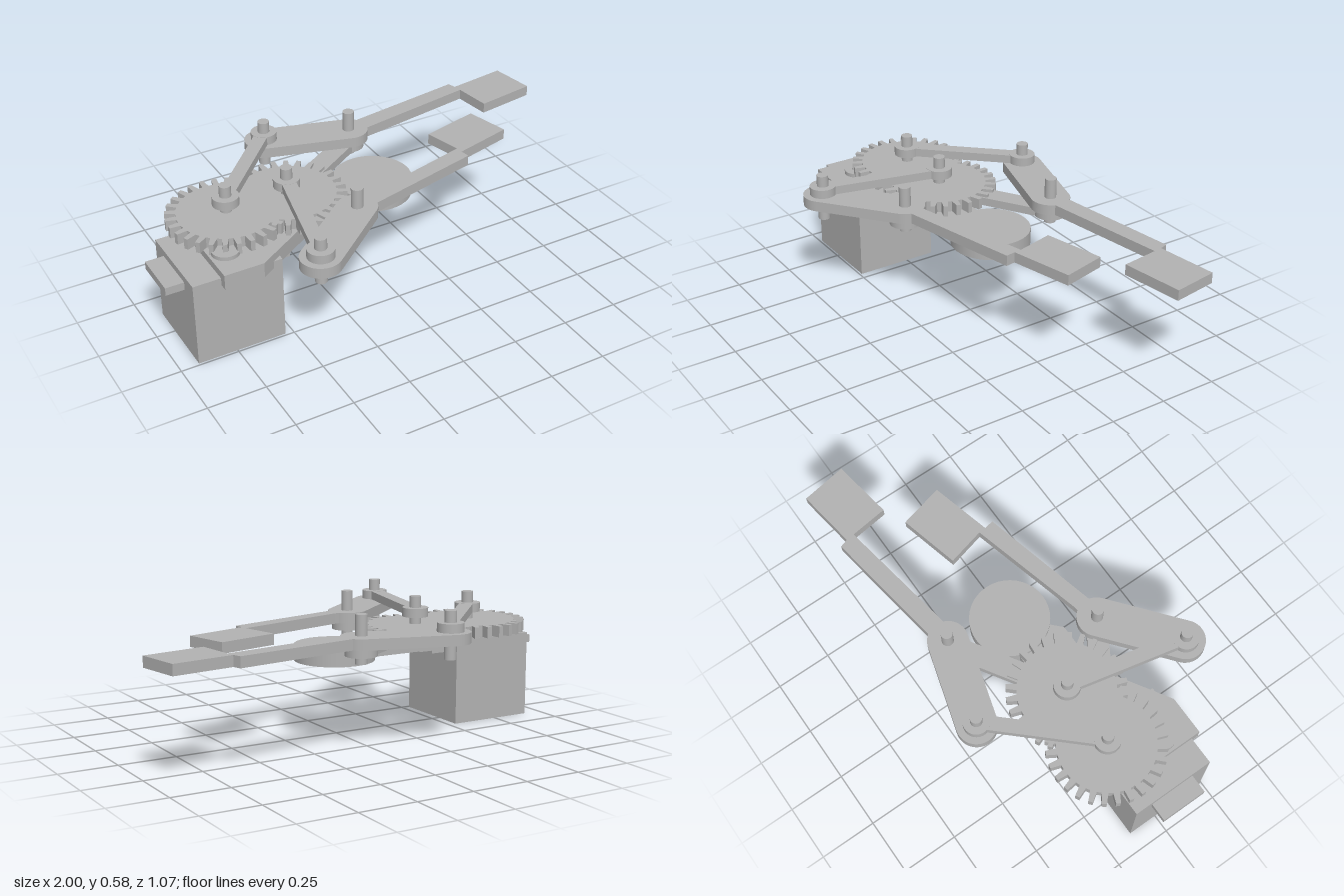
import * as THREE from 'three';

export function createModel() {
  const model = new THREE.Group();
  const grey = new THREE.MeshStandardMaterial({ color: 0xb2b2b2 });
  grey.name = 'plain grey';

  const add = (name, geometry, parent = model) => {
    const mesh = new THREE.Mesh(geometry, grey);
    mesh.name = name;
    parent.add(mesh);
    return mesh;
  };
  // Flat plate: an outline in x and z, raised from y0 to y1
  const plate = (shape, y0, y1) =>
    new THREE.ExtrudeGeometry(shape, { depth: y1 - y0, bevelEnabled: false, curveSegments: 24 })
      .rotateX(-Math.PI / 2).translate(0, y0, 0);
  const outline = (pts) => new THREE.Shape(pts.map(([x, z]) => new THREE.Vector2(x, -z)));
  const box = (name, x0, x1, y0, y1, z0, z1) =>
    add(name, new THREE.BoxGeometry(x1 - x0, y1 - y0, z1 - z0)
      .translate((x0 + x1) / 2, (y0 + y1) / 2, (z0 + z1) / 2));
  const disc = (name, [x, z], r, y0, y1, parent) =>
    add(name, new THREE.CylinderGeometry(r, r, y1 - y0, 40).translate(x, (y0 + y1) / 2, z), parent);
  // Bar with round ends between two points
  const bar = ([ax, az], [bx, bz], r) => {
    const a = Math.atan2(az - bz, bx - ax);
    const s = new THREE.Shape();
    s.absarc(ax, -az, r, a + Math.PI / 2, a + Math.PI * 1.5, false);
    s.absarc(bx, -bz, r, a - Math.PI / 2, a + Math.PI / 2, false);
    s.closePath();
    return s;
  };
  const gear = ([cx, cz], root, tip, teeth) => {
    const pts = [];
    for (let i = 0; i < teeth; i++) {
      for (const [t, r] of [[-0.3, root], [-0.17, tip], [0.17, tip], [0.3, root]]) {
        const a = ((i + t) / teeth) * Math.PI * 2;
        pts.push([cx + Math.cos(a) * r, cz - Math.sin(a) * r]);
      }
    }
    return outline(pts);
  };

  // Motor and its mounting ears
  box('motorBody', -0.92, -0.535, 0, 0.375, -0.131, 0.24);
  box('motorEars', -1, -0.46, 0.31, 0.345, -0.05, 0.155);

  // Base plate, front strip and round foot
  add('basePlate', plate(outline([
    [-0.8, -0.13], [-0.8, 0.275], [-0.63, 0.275], [-0.34, 0.096], [-0.34, -0.13],
  ]), 0.342, 0.408));
  add('baseStrip', plate(outline([
    [-0.345, -0.13], [-0.345, 0.096], [-0.11, 0.096], [-0.01, 0], [-0.01, -0.13],
  ]), 0.345, 0.39));
  disc('roundBase', [0.05, -0.07], 0.17, 0.341, 0.408);
  disc('baseBoss', [-0.73, 0.135], 0.058, 0.405, 0.425);

  // Two linkages, each with a gear, drive arm, finger and follower link
  const sides = [
    {
      name: 'back', gear: [-0.355, -0.07], pivot: [0.09, -0.35], tail: [-0.27, -0.455], link: [-0.63, -0.07],
      finger: [[0.12, -0.395], [0.16, -0.4], [0.695, -0.48], [0.706, -0.444], [0.968, -0.481],
        [1, -0.283], [0.733, -0.242], [0.711, -0.407], [0.166, -0.318], [0.12, -0.31]],
    },
    {
      name: 'front', gear: [-0.63, -0.07], pivot: [-0.18, 0.21], tail: [-0.47, 0.445], link: [-0.355, -0.07],
      finger: [[-0.13, 0.165], [-0.09, 0.158], [0.412, 0.03], [0.37, -0.134], [0.632, -0.198],
        [0.68, -0.005], [0.415, 0.062], [0.422, 0.104], [-0.1, 0.23], [-0.14, 0.25]],
    },
  ];
  for (const s of sides) {
    const g = new THREE.Group();
    g.name = s.name + 'Linkage';
    model.add(g);
    add('gear', plate(gear(s.gear, 0.205, 0.25, 28), 0.41, 0.458), g);
    add('driveArm', plate(bar(s.gear, s.pivot, 0.045), 0.409, 0.445), g);
    disc('armEye', s.pivot, 0.067, 0.409, 0.445, g);

    add('fingerTail', plate(bar(s.tail, s.pivot, 0.085), 0.445, 0.491), g);
    add('fingerTip', plate(outline(s.finger), 0.445, 0.491), g);

    add('followerLink', plate(bar(s.link, s.tail, 0.03), 0.491, 0.528), g);
    for (const p of [s.link, s.tail]) disc('linkEye', p, 0.056, 0.49, 0.529, g);

    for (const p of [s.link, s.tail, s.pivot]) disc('pin', p, 0.025, 0.375, 0.578, g);
  }
  return model;
}
